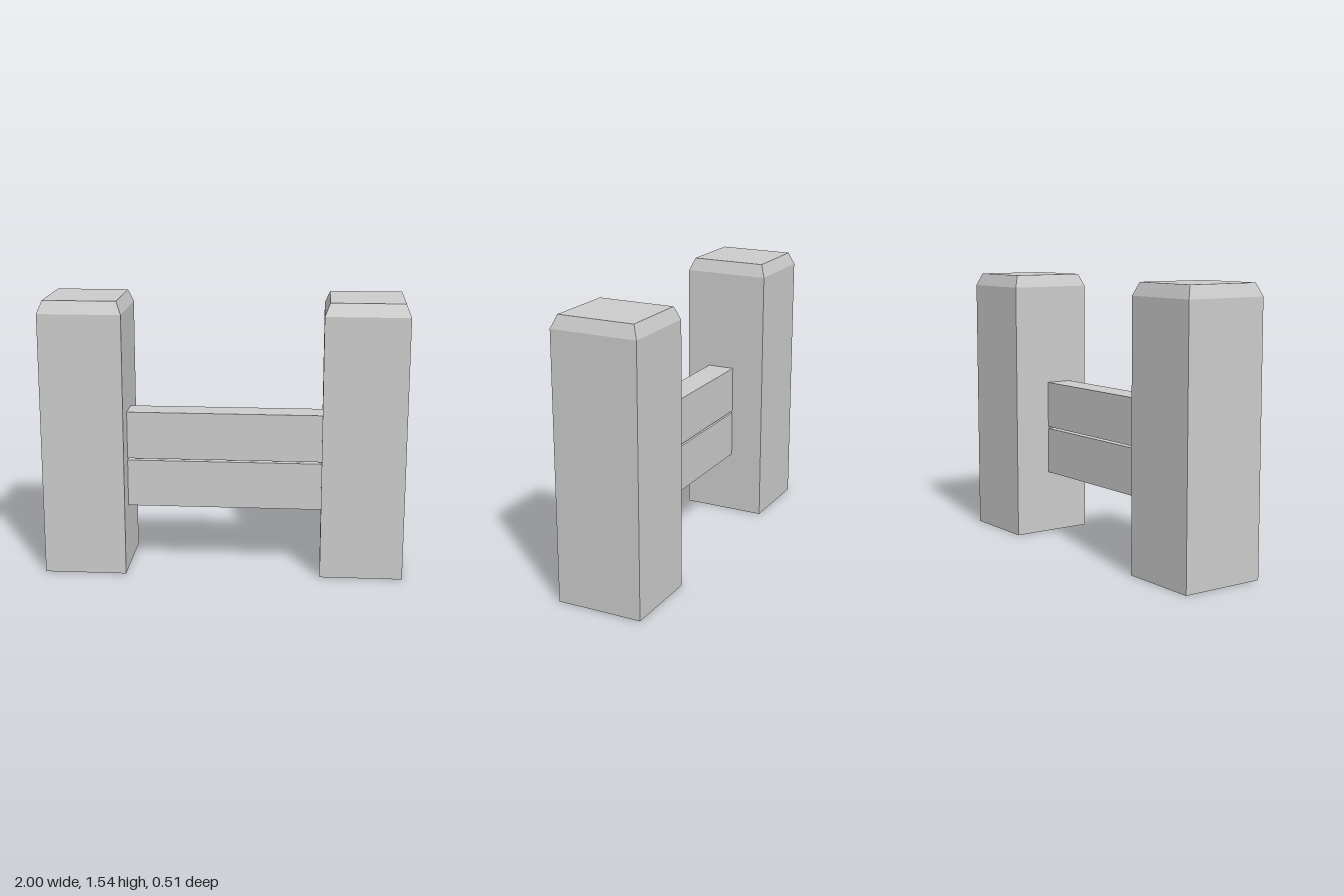
import * as THREE from 'three';

const material = new THREE.MeshStandardMaterial({ color: 0xcccccc, flatShading: true });

function addBox(group, name, [x0, x1], [y0, y1], [z0, z1]) {
  const geometry = new THREE.BoxGeometry(x1 - x0, y1 - y0, z1 - z0);
  geometry.translate((x0 + x1) / 2, (y0 + y1) / 2, (z0 + z1) / 2);
  const mesh = new THREE.Mesh(geometry, material);
  mesh.name = name;
  group.add(mesh);
}

// Square post with a bevelled top: the top ring of a two-segment box is drawn in
function addPost(group, name, x, z) {
  const width = 0.457, depth = 0.483, height = 1.54, shoulder = 1.47, inset = 0.028;
  const geometry = new THREE.BoxGeometry(width, height, depth, 1, 2, 1);
  geometry.translate(0, height / 2, 0);
  const p = geometry.attributes.position;
  for (let i = 0; i < p.count; i++) {
    const y = p.getY(i);
    if (y > height - 0.01) {
      p.setX(i, p.getX(i) - Math.sign(p.getX(i)) * inset);
      p.setZ(i, p.getZ(i) - Math.sign(p.getZ(i)) * inset);
    } else if (y > 0.01) {
      p.setY(i, shoulder);
    }
  }
  geometry.computeVertexNormals();
  const mesh = new THREE.Mesh(geometry, material);
  mesh.name = name;
  mesh.position.set(x, 0, z);
  group.add(mesh);
}

export function createModel() {
  const group = new THREE.Group();
  group.name = 'fence';

  // Posts, slightly staggered front to back
  addPost(group, 'rightPost', -0.7715, 0.0135);
  addPost(group, 'leftPost', 0.7715, -0.0135);

  // Two planks between the posts
  addBox(group, 'lowerPlank', [-0.543, 0.543], [0.36, 0.626], [-0.038, 0.118]);
  addBox(group, 'upperPlank', [-0.543, 0.543], [0.637, 0.903], [-0.038, 0.118]);

  return group;
}
